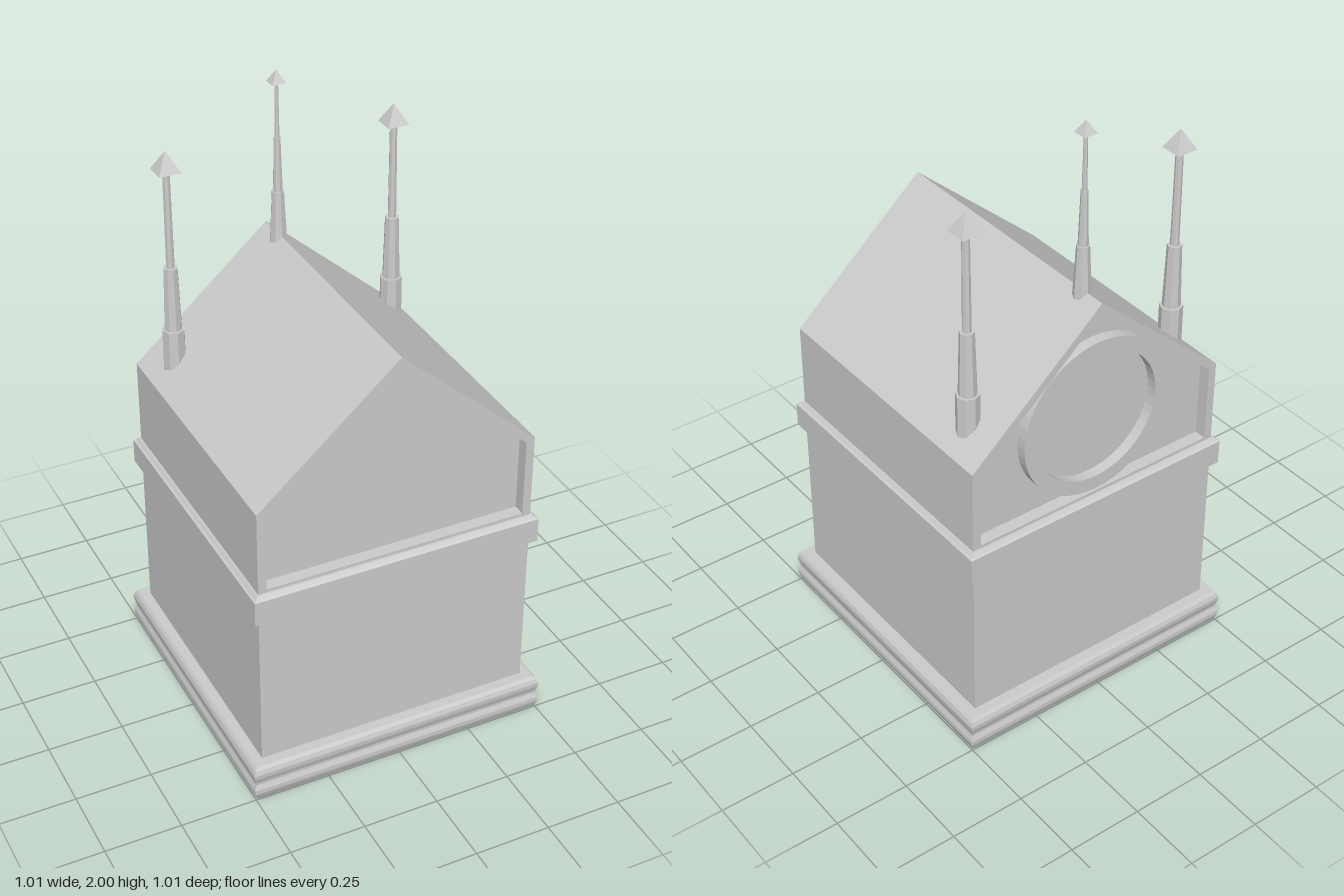
import * as THREE from 'three';

const material = new THREE.MeshStandardMaterial({ color: 0xcccccc, flatShading: true });

function add(parent, name, geometry) {
  const mesh = new THREE.Mesh(geometry, material);
  mesh.name = name;
  parent.add(mesh);
  return mesh;
}

// Square moulding swept from a [half width, height] profile, bottom to top
function squareMoulding(profile) {
  const points = profile.map(([h, y]) => new THREE.Vector2(h * Math.SQRT2, y));
  return new THREE.LatheGeometry(points, 4).rotateY(Math.PI / 4);
}

// Gable outline: walls up to the eaves, then a pitched top
function gablePoints(half, bottom, eaves, apex) {
  return [[-half, bottom], [half, bottom], [half, eaves], [0, apex], [-half, eaves]]
    .map(([x, y]) => new THREE.Vector2(x, y));
}

function extrude(shape, depth, curveSegments = 12) {
  return new THREE.ExtrudeGeometry(shape, { depth, bevelEnabled: false, curveSegments });
}

// Stepped octagonal spire; tiers are [bottom y, top y, bottom radius, top radius]
function makeSpire(name, x, z, tiers, tipHalf, tipBase, tipTop) {
  const spire = new THREE.Group();
  spire.name = name;
  spire.position.set(x, 0, z);
  tiers.forEach(([y0, y1, r0, r1], i) => {
    add(spire, `spireTier${i + 1}`, new THREE.CylinderGeometry(r1, r0, y1 - y0, 8))
      .position.y = (y0 + y1) / 2;
  });
  const tip = new THREE.ConeGeometry(tipHalf * Math.SQRT2, tipTop - tipBase, 4).rotateY(Math.PI / 4);
  add(spire, 'spireTip', tip).position.y = (tipBase + tipTop) / 2;
  return spire;
}

export function createModel() {
  const model = new THREE.Group();
  model.name = 'gabledShrine';

  // Moulded plinth
  add(model, 'plinth', squareMoulding([
    [0, 0], [0.495, 0], [0.5, 0.01], [0.505, 0.025], [0.505, 0.04], [0.498, 0.058],
    [0.498, 0.066], [0.504, 0.085], [0.505, 0.1], [0.5, 0.115], [0.492, 0.125], [0, 0.125],
  ]));

  // Lower block
  add(model, 'lowerBody', new THREE.BoxGeometry(0.92, 0.65, 0.92)).position.y = 0.425;

  // Belt course with a bevelled top
  add(model, 'beltCourse', squareMoulding([
    [0, 0.665], [0.48, 0.665], [0.48, 0.748], [0.474, 0.752], [0.466, 0.762], [0, 0.762],
  ]));

  // Gabled upper shell, framing a recess at each end
  const shell = new THREE.Shape(gablePoints(0.46, 0.75, 1.045, 1.45));
  const opening = gablePoints(0.432, 0.772, 1.033, 1.416);
  shell.holes.push(new THREE.Path(opening));
  add(model, 'gabledShell', extrude(shell, 0.92)).position.z = -0.46;

  // Recessed end panels, the two faces of one inner block
  add(model, 'gablePanels', extrude(new THREE.Shape(opening), 0.84)).position.z = -0.42;

  // Round window ring on the back gable
  const ring = new THREE.Shape().absarc(0, 0, 0.27, 0, Math.PI * 2, false);
  ring.holes.push(new THREE.Path().absarc(0, 0, 0.222, 0, Math.PI * 2, true));
  add(model, 'windowRing', extrude(ring, 0.035, 24)).position.set(0, 1.045, -0.455);

  // Side spires on the roof slopes
  for (const side of [-1, 1]) {
    model.add(makeSpire(side > 0 ? 'leftSpire' : 'rightSpire', side * 0.38, -0.33, [
      [1.06, 1.225, 0.037, 0.037],
      [1.225, 1.44, 0.029, 0.023],
      [1.44, 1.77, 0.014, 0.012],
    ], 0.036, 1.765, 1.83));
  }

  // Slimmer spire on the ridge
  model.add(makeSpire('ridgeSpire', 0, -0.367, [
    [1.4, 1.6, 0.03, 0.02],
    [1.6, 1.78, 0.016, 0.011],
    [1.78, 1.965, 0.008, 0.006],
  ], 0.023, 1.96, 2.0));

  return model;
}
